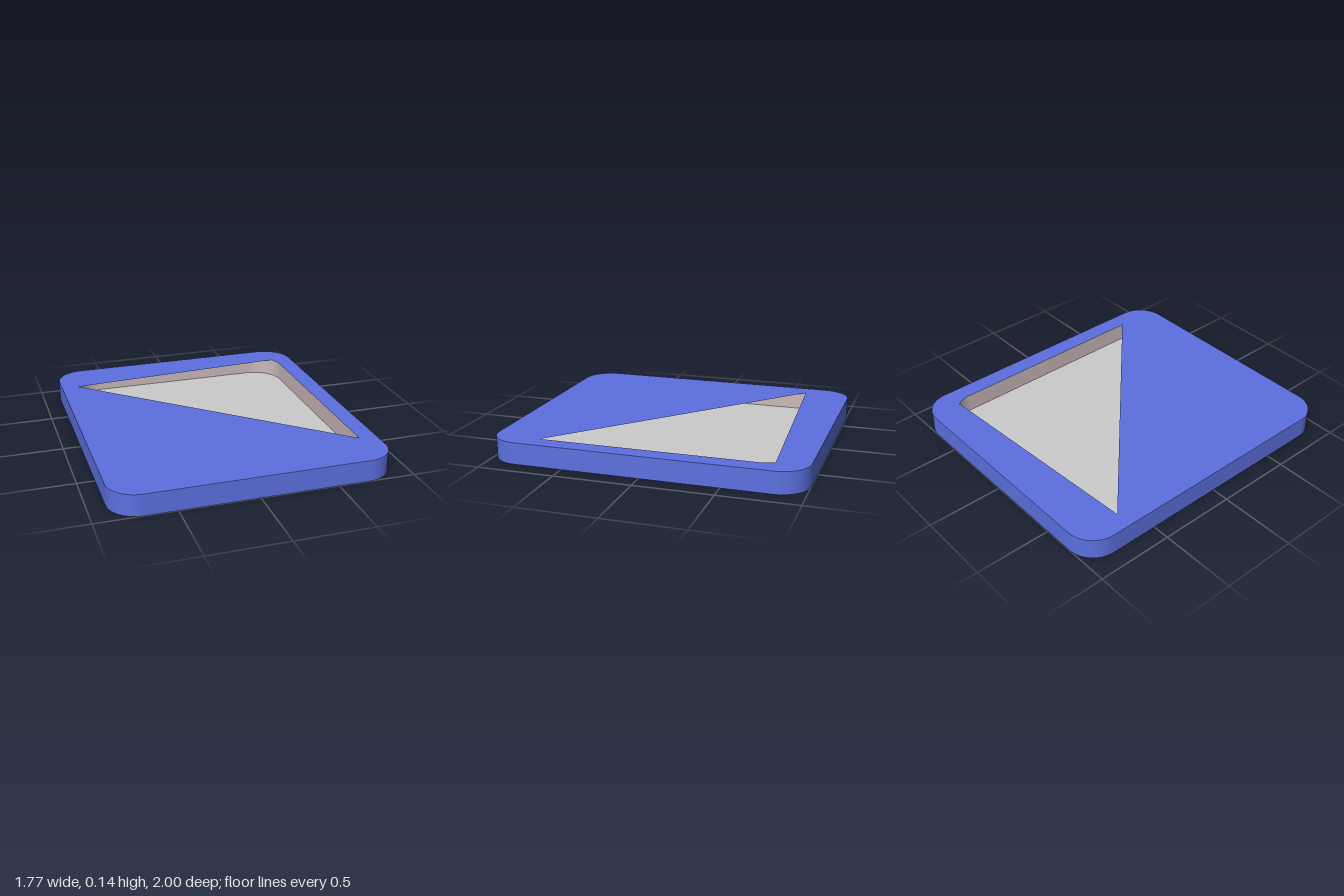
import * as THREE from 'three';

const HEIGHT = 0.14, FLOOR = 0.02;

function roundedRect(hx, hy, r) {
  const s = new THREE.Shape();
  s.absarc(hx - r, hy - r, r, 0, Math.PI / 2);
  s.absarc(r - hx, hy - r, r, Math.PI / 2, Math.PI);
  s.absarc(r - hx, r - hy, r, Math.PI, Math.PI * 1.5);
  s.absarc(hx - r, r - hy, r, Math.PI * 1.5, Math.PI * 2);
  s.closePath();
  return s;
}

// Smooth upright band that follows a closed outline
function band(shape, y0, y1, inward) {
  const pts = shape.getPoints(12);
  if (pts[0].distanceTo(pts[pts.length - 1]) < 1e-5) pts.pop();
  const n = pts.length, pos = [], idx = [];
  pts.forEach(p => pos.push(p.x, y0, -p.y, p.x, y1, -p.y));
  for (let i = 0; i < n; i++) {
    const a = 2 * i, b = 2 * ((i + 1) % n);
    if (inward) idx.push(a, b + 1, b, a, a + 1, b + 1);
    else idx.push(a, b, b + 1, a, b + 1, a + 1);
  }
  const g = new THREE.BufferGeometry();
  g.setAttribute('position', new THREE.Float32BufferAttribute(pos, 3));
  g.setIndex(idx);
  g.computeVertexNormals();
  return g;
}

// Flat face lying at height y, looking up or down
function flat(shape, y, up = true) {
  return new THREE.ShapeGeometry(shape, 12).rotateX(up ? -Math.PI / 2 : Math.PI / 2).translate(0, y, 0);
}

export function createModel() {
  const group = new THREE.Group();
  const blue = new THREE.MeshStandardMaterial({ color: 0x5c70e0 });
  const grey = new THREE.MeshStandardMaterial({ color: 0xcccccc });
  const liner = new THREE.MeshStandardMaterial({ color: 0xccbaba });
  const add = (name, geometry, material) => {
    const mesh = new THREE.Mesh(geometry, material);
    mesh.name = name;
    group.add(mesh);
  };

  const outline = roundedRect(0.887, 1, 0.185);
  const pocket = roundedRect(0.77, 0.885, 0.195);

  // Top face with its three-sided opening, one corner following the pocket's curve
  const lid = roundedRect(0.887, 1, 0.185);
  const opening = new THREE.Path();
  opening.moveTo(-0.77, 0.69);
  opening.lineTo(0.77, -0.69);
  opening.absarc(0.575, 0.69, 0.195, 0, 0.56, false);
  opening.closePath();
  lid.holes.push(opening);

  add('outerWall', band(outline, 0, HEIGHT, false), blue);
  add('topFace', flat(lid, HEIGHT), blue);
  add('bottomFace', flat(outline, 0, false), blue);

  // Pocket beneath the opening
  add('pocketWall', band(pocket, FLOOR, HEIGHT, true), liner);
  add('pocketFloor', flat(pocket, FLOOR), grey);
  return group;
}
